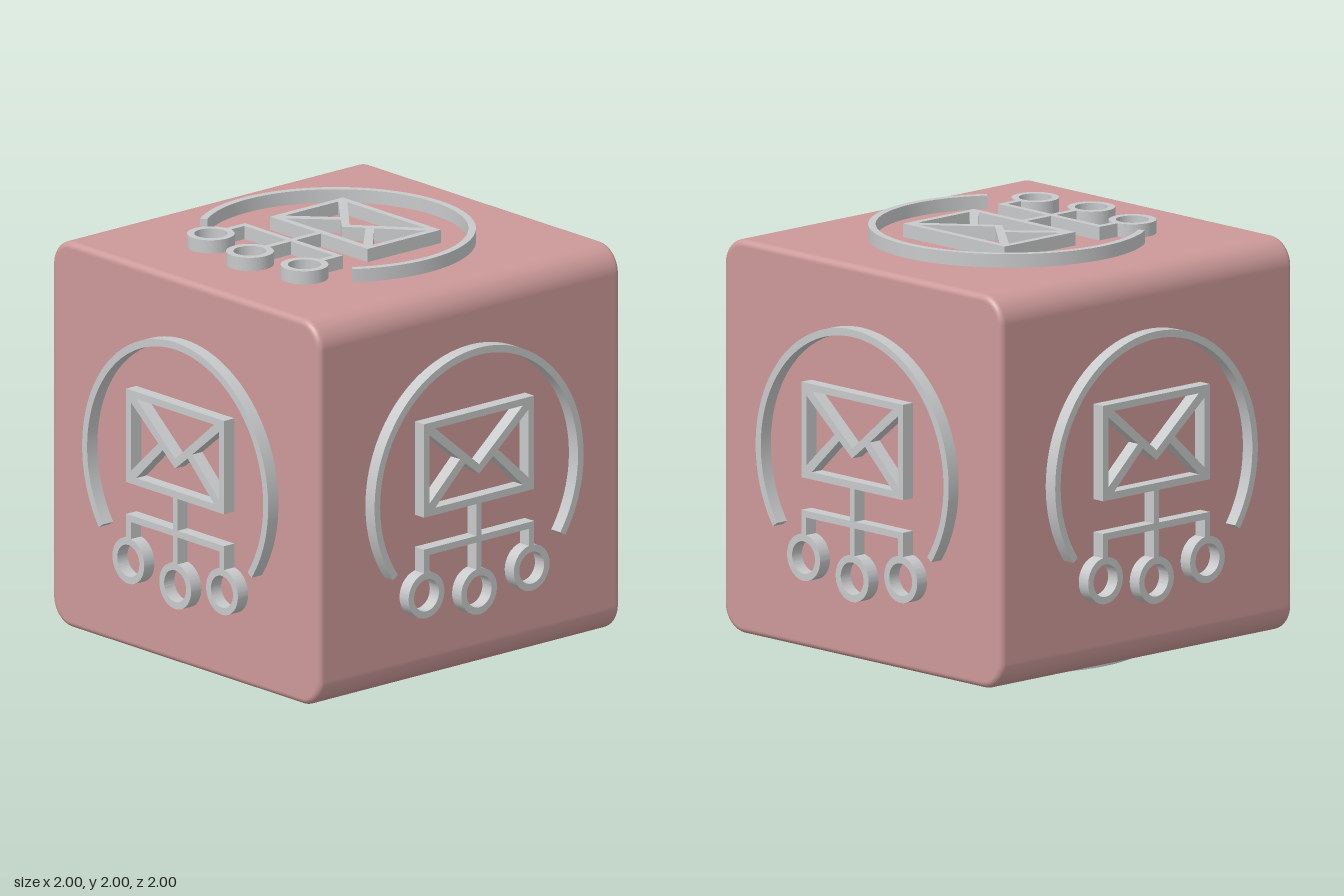
import * as THREE from 'three';
import { toCreasedNormals } from 'three/addons/utils/BufferGeometryUtils.js';

const HALF = 0.936;   // half the cube's width
const RAISE = 1 - HALF; // height of the raised emblems
const SINK = 0.01;    // how far the emblems reach into the cube

const polygon = (points, Type = THREE.Shape) => new Type(points.map(([x, y]) => new THREE.Vector2(x, y)));
const rect = (x0, y0, x1, y1) => polygon([[x0, y0], [x1, y0], [x1, y1], [x0, y1]]);

// Cube with wide rounding along z and a small bevel front and back
function cubeGeometry() {
  const h = HALF, r = 0.13, bevel = 0.03;
  const s = new THREE.Shape();
  s.absarc(h - r, h - r, r, 0, Math.PI / 2);
  s.absarc(r - h, h - r, r, Math.PI / 2, Math.PI);
  s.absarc(r - h, r - h, r, Math.PI, Math.PI * 1.5);
  s.absarc(h - r, r - h, r, Math.PI * 1.5, Math.PI * 2);
  const depth = 2 * (h - bevel);
  const g = new THREE.ExtrudeGeometry(s, {
    depth, curveSegments: 24, bevelEnabled: true, bevelSize: bevel,
    bevelThickness: bevel, bevelOffset: -bevel, bevelSegments: 8,
  });
  return g.translate(0, 0, -depth / 2);
}

// Open circular band around the emblem
function arcShape() {
  const a = -THREE.MathUtils.degToRad(34.8), b = Math.PI - a;
  const s = new THREE.Shape();
  s.absarc(0, 0, 0.65, a, b, false);
  s.absarc(0, 0, 0.615, b, a, true);
  s.closePath();
  return s;
}

// Envelope frame with its four openings
function envelopeShape() {
  const s = rect(-0.342, -0.107, 0.342, 0.347);
  s.holes.push(
    polygon([[-0.272, 0.313], [0.272, 0.313], [0, 0.084]], THREE.Path),
    polygon([[-0.272, -0.072], [-0.087, 0.106], [0, 0.037], [0.087, 0.106], [0.272, -0.072]], THREE.Path),
  );
  for (const m of [-1, 1]) {
    s.holes.push(polygon([[m * 0.308, 0.287], [m * 0.118, 0.132], [m * 0.308, -0.045]], THREE.Path));
  }
  return s;
}

function ringShape(x, y) {
  const s = new THREE.Shape();
  s.absarc(x, y, 0.111, 0, Math.PI * 2);
  const hole = new THREE.Path();
  hole.absarc(x, y, 0.077, 0, Math.PI * 2);
  s.holes.push(hole);
  return s;
}

export function createModel() {
  const pink = new THREE.MeshStandardMaterial({ color: 0xcc9999 });
  pink.name = 'dusty pink';
  const grey = new THREE.MeshStandardMaterial({ color: 0xc8c9ca });
  grey.name = 'light grey';

  const model = new THREE.Group();
  model.name = 'emblemCube';
  const centre = new THREE.Group();
  centre.name = 'centre';
  centre.position.y = 1;
  model.add(centre);

  const cube = new THREE.Mesh(cubeGeometry(), pink);
  cube.name = 'cubeBody';
  centre.add(cube);

  // Flat pieces of one emblem
  const pieces = {
    arc: [arcShape()],
    envelope: [envelopeShape()],
    branches: [
      rect(-0.016, -0.262, 0.016, -0.107),  // stem above the crossbar
      rect(-0.342, -0.294, 0.342, -0.262),  // crossbar
      rect(-0.016, -0.43, 0.016, -0.294),   // middle drop
      rect(-0.342, -0.382, -0.31, -0.294),  // side drops
      rect(0.31, -0.382, 0.342, -0.294),
    ],
    nodeRings: [ringShape(-0.327, -0.487), ringShape(0, -0.535), ringShape(0.327, -0.487)],
  };
  const geometries = Object.entries(pieces).map(([name, shapes]) => {
    const g = new THREE.ExtrudeGeometry(shapes, {
      depth: RAISE + SINK, bevelEnabled: false, curveSegments: 48,
    }).translate(0, 0, HALF - SINK);
    return [name, toCreasedNormals(g, 0.4)];
  });

  // One emblem on each of the six faces
  const q = Math.PI / 2;
  const faces = {
    front: [0, 0], left: [0, q], back: [0, 2 * q], right: [0, -q], top: [-q, 0], bottom: [q, 0],
  };
  for (const [face, [rx, ry]] of Object.entries(faces)) {
    const emblem = new THREE.Group();
    emblem.name = face + 'Emblem';
    emblem.rotation.set(rx, ry, 0);
    for (const [name, g] of geometries) {
      const mesh = new THREE.Mesh(g, grey);
      mesh.name = name;
      emblem.add(mesh);
    }
    centre.add(emblem);
  }
  return model;
}
